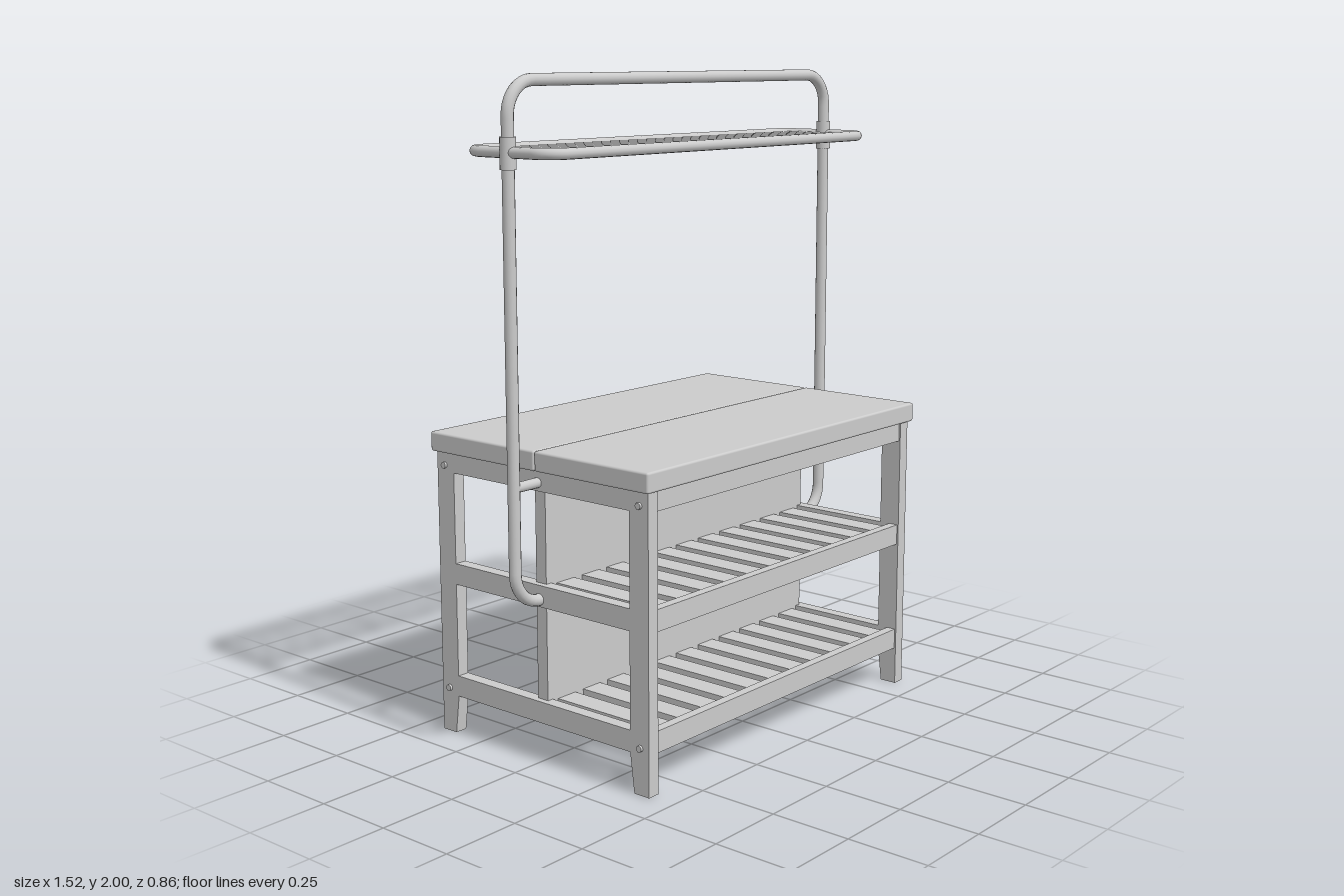
import * as THREE from 'three';
import { RoundedBoxGeometry } from 'three/addons/geometries/RoundedBoxGeometry.js';

const material = new THREE.MeshStandardMaterial({ color: 0xcccccc });
const V = (x, y, z) => new THREE.Vector3(x, y, z);

function add(parent, name, geometry, x = 0, y = 0, z = 0) {
  const mesh = new THREE.Mesh(geometry, material);
  mesh.name = name;
  mesh.position.set(x, y, z);
  parent.add(mesh);
  return mesh;
}

// Box given by its limits on each axis
function box(parent, name, [x0, x1], [y0, y1], [z0, z1]) {
  return add(parent, name, new THREE.BoxGeometry(x1 - x0, y1 - y0, z1 - z0),
    (x0 + x1) / 2, (y0 + y1) / 2, (z0 + z1) / 2);
}

// Round rod along one axis
function rod(parent, name, radius, length, axis, x, y, z, sides = 10) {
  const g = new THREE.CylinderGeometry(radius, radius, length, sides);
  if (axis === 'x') g.rotateZ(Math.PI / 2);
  if (axis === 'z') g.rotateX(Math.PI / 2);
  return add(parent, name, g, x, y, z);
}

// Path through corner points, each inner corner rounded by the radius
function bentPath(points, radius) {
  const path = new THREE.CurvePath();
  const k = 0.5523;
  let from = points[0];
  for (let i = 1; i < points.length - 1; i++) {
    const c = points[i];
    const a = c.clone().add(points[i - 1].clone().sub(c).setLength(radius));
    const b = c.clone().add(points[i + 1].clone().sub(c).setLength(radius));
    path.add(new THREE.LineCurve3(from, a));
    path.add(new THREE.CubicBezierCurve3(a, a.clone().lerp(c, k), b.clone().lerp(c, k), b));
    from = b;
  }
  path.add(new THREE.LineCurve3(from, points[points.length - 1]));
  return path;
}

// Side frame: two tapered legs and three rails in one outline with two openings
function sideFrameGeometry() {
  const s = new THREE.Shape([
    [-0.42, 0], [-0.365, 0], [-0.35, 0.12], [0.35, 0.12], [0.365, 0], [0.42, 0],
    [0.42, 0.88], [-0.42, 0.88],
  ].map(([z, y]) => new THREE.Vector2(z, y)));
  for (const [y0, y1] of [[0.185, 0.475], [0.54, 0.82]]) {
    s.holes.push(new THREE.Path([
      [-0.35, y0], [-0.35, y1], [0.35, y1], [0.35, y0],
    ].map(([z, y]) => new THREE.Vector2(z, y))));
  }
  const g = new THREE.ExtrudeGeometry(s, { depth: 0.04, bevelEnabled: false });
  g.translate(0, 0, -0.02);
  g.rotateY(Math.PI / 2);
  return g;
}

export function createModel() {
  const model = new THREE.Group();
  model.name = 'workbench';

  // Table top of two planks meeting at a seam
  const top = new THREE.Group();
  top.name = 'tableTop';
  model.add(top);
  for (const s of [-1, 1]) {
    add(top, 'plank', new RoundedBoxGeometry(1.31, 0.06, 0.431, 2, 0.007), 0, 0.91, s * 0.2165);
  }

  // Bench frame
  const bench = new THREE.Group();
  bench.name = 'benchFrame';
  model.add(bench);
  const side = sideFrameGeometry();
  for (const s of [-1, 1]) {
    add(bench, 'sideFrame', side, s * 0.62);
    for (const z of [-0.388, 0.388]) {
      for (const y of [0.14, 0.84]) rod(bench, 'bolt', 0.01, 0.012, 'x', s * 0.642, y, z);
    }
  }
  for (const y of [0.12, 0.475, 0.82]) {
    box(bench, 'frontRail', [-0.6, 0.6], [y, y + (y > 0.8 ? 0.06 : 0.065)], [0.385, 0.415]);
  }
  box(bench, 'backRail', [-0.6, 0.6], [0.82, 0.88], [-0.415, -0.385]);
  box(bench, 'middlePanel', [-0.62, 0.62], [0.13, 0.88], [-0.03, 0.01]);

  // Slatted shelves in the front half
  for (const y of [0.16, 0.515]) {
    const shelf = new THREE.Group();
    shelf.name = 'slattedShelf';
    model.add(shelf);
    for (let i = 0; i < 11; i++) {
      const x = (i - 5) * 0.108;
      box(shelf, 'slat', [x - 0.037, x + 0.037], [y, y + 0.02], [0.01, 0.386]);
    }
    box(shelf, 'cleat', [-0.6, 0.6], [y - 0.03, y], [0.01, 0.035]);
    box(shelf, 'cleat', [-0.6, 0.6], [y - 0.03, y], [0.36, 0.386]);
  }

  // Tall bent tube hoop with its fixings
  const hoop = new THREE.Group();
  hoop.name = 'tubeHoop';
  model.add(hoop);
  const hoopPath = bentPath([
    V(-0.62, 0.497, 0), V(-0.735, 0.497, 0), V(-0.735, 1.982, 0),
    V(0.735, 1.982, 0), V(0.735, 0.497, 0), V(0.62, 0.497, 0),
  ], 0.095);
  add(hoop, 'hoop', new THREE.TubeGeometry(hoopPath, 260, 0.018, 14));
  for (const s of [-1, 1]) {
    rod(hoop, 'stay', 0.015, 0.115, 'x', s * 0.6775, 0.845, 0, 14);
    rod(hoop, 'clamp', 0.023, 0.09, 'y', s * 0.735, 1.785, 0, 18);
  }

  // Overhead rack: rounded rim, long rods and cross rods
  const rack = new THREE.Group();
  rack.name = 'overheadRack';
  model.add(rack);
  const rimPath = bentPath([
    V(0, 1.787, 0.165), V(0.735, 1.787, 0.165), V(0.735, 1.787, -0.165),
    V(-0.735, 1.787, -0.165), V(-0.735, 1.787, 0.165), V(0, 1.787, 0.165),
  ], 0.06);
  add(rack, 'rim', new THREE.TubeGeometry(rimPath, 240, 0.016, 12, true));
  for (let i = -3; i <= 3; i++) {
    rod(rack, 'longRod', 0.008, 1.46, 'x', 0, 1.787, i * 0.041);
  }
  for (const x of [-0.225, 0.225]) rod(rack, 'crossRod', 0.007, 0.33, 'z', x, 1.778, 0);

  return model;
}
